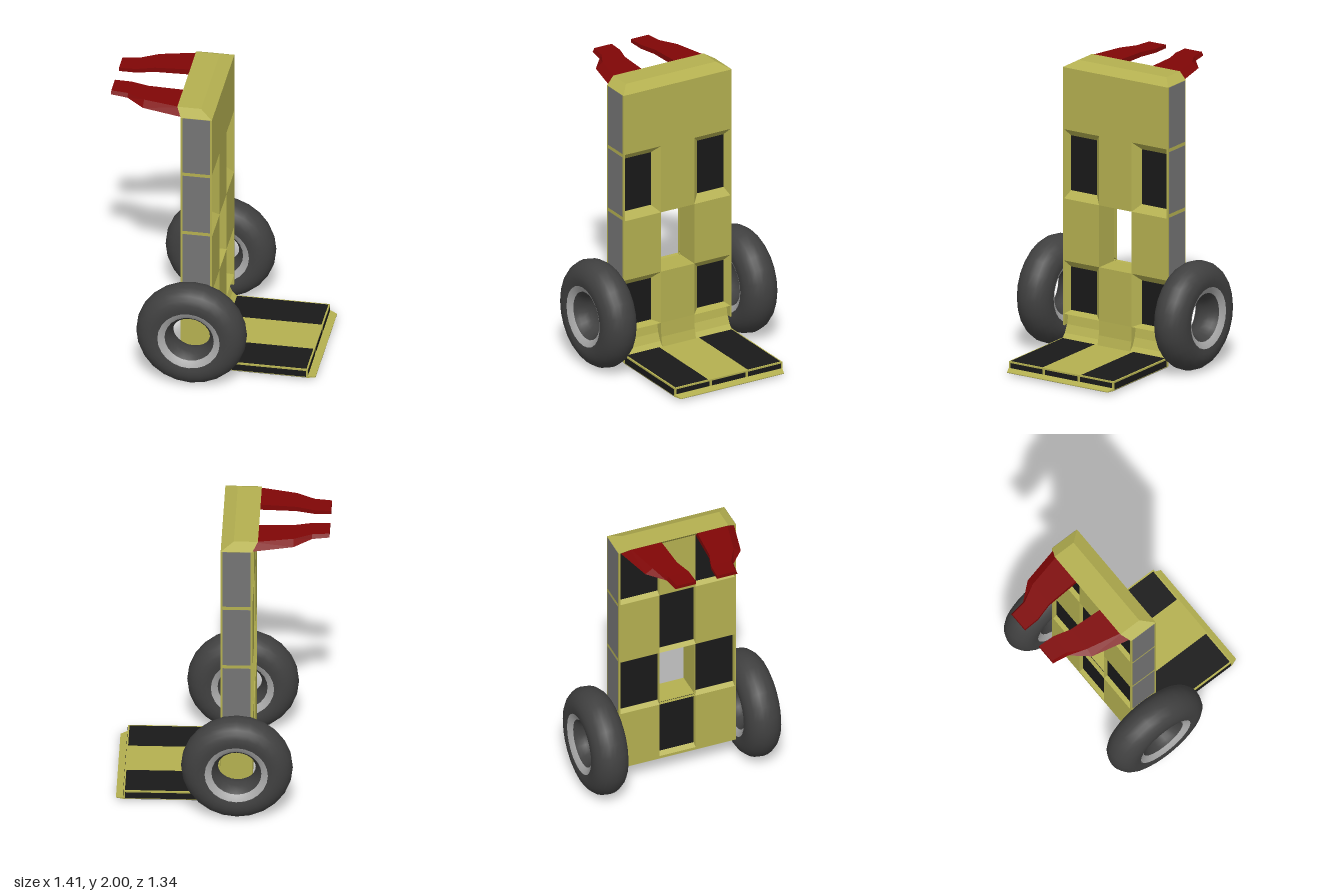
import * as THREE from 'three';

const mat = (color, flat = true) => new THREE.MeshStandardMaterial({ color, flatShading: flat, side: THREE.DoubleSide });

export function createModel() {
  const model = new THREE.Group();
  const yellow = mat(0xb4b050), black = mat(0x191919), grey = mat(0x747474);
  const red = mat(0x800606), rubber = mat(0x404040, false), rim = mat(0xa8a8a8, false);

  const add = (name, geo, material) => {
    const m = new THREE.Mesh(geo, material);
    m.name = name;
    model.add(m);
    return m;
  };
  // Box given by its limits on each axis
  const box = (name, material, x0, x1, y0, y1, z0, z1) =>
    add(name, new THREE.BoxGeometry(x1 - x0, y1 - y0, z1 - z0), material)
      .position.set((x0 + x1) / 2, (y0 + y1) / 2, (z0 + z1) / 2);
  // Skin through four-cornered sections, with optional end caps
  const loft = (sections, caps = true) => {
    const idx = [], last = (sections.length - 1) * 4;
    for (let s = 0; s < sections.length - 1; s++)
      for (let i = 0; i < 4; i++) {
        const a = s * 4 + i, b = s * 4 + (i + 1) % 4;
        idx.push(a, b, b + 4, a, b + 4, a + 4);
      }
    if (caps) idx.push(0, 2, 1, 0, 3, 2, last, last + 1, last + 2, last, last + 2, last + 3);
    const g = new THREE.BufferGeometry();
    g.setAttribute('position', new THREE.Float32BufferAttribute(sections.flat(2), 3));
    g.setIndex(idx);
    const flat = g.toNonIndexed();
    flat.computeVertexNormals();
    return flat;
  };
  const rectX = (x, y0, y1, z0, z1) => [[x, y0, z0], [x, y1, z0], [x, y1, z1], [x, y0, z1]];
  const rectY = (y, x0, x1, z) => [[x0, y, -z], [x0, y, z], [x1, y, z], [x1, y, -z]];

  // Backboard: checkered cells, recessed on alternating faces, one cell left open
  const xb = -0.2, xf = 0.01, depth = 0.05, backDepth = 0.03;
  const rows = [0.25, 0.62, 1.05, 1.53, 1.96], cols = [-0.41, -0.13, 0.13, 0.41];
  for (let r = 0; r < 4; r++)
    for (let c = 0; c < 3; c++) {
      const y0 = rows[r], y1 = rows[r + 1], z0 = cols[c], z1 = cols[c + 1];
      const middle = c === 1;
      if (r === 1 && middle) continue;
      if (!middle && r % 2 === 0) {
        // Bevelled recess in the loading face
        const iz0 = z0 + (c === 0 ? 0.025 : 0.05), iz1 = z1 - (c === 2 ? 0.025 : 0.05);
        const iy0 = y0 + (r === 0 ? 0.02 : 0.05), iy1 = y1 - 0.05;
        box('boardCell', yellow, xb, xf - depth, y0, y1, z0, z1);
        add('recessBevel', loft([rectX(xf, y0, y1, z0, z1), rectX(xf - depth + 0.002, iy0, iy1, iz0, iz1)], false), yellow);
        box('recessPanel', black, xf - depth, xf - depth + 0.004, iy0, iy1, iz0, iz1);
      } else if (middle && r === 3) {
        box('boardCell', yellow, xb, xf, y0, y1, z0, z1);
      } else {
        // Shallow recess in the handle face, with a sloping sill
        const yb = r === 0 ? 0.19 : y0, xp = xb + backDepth;
        box('boardCell', yellow, xp, xf, y0, y1, z0, z1);
        add('backBevel', loft([rectX(xb, yb, y1, z0, z1), rectX(xp, yb + 0.025, y1 - 0.005, z0 + 0.004, z1 - 0.004)], false), yellow);
        box('backPanel', black, xp - 0.003, xp, yb + 0.024, y1 - 0.004, z0 + 0.004, z1 - 0.004);
      }
    }

  // Lower board, curving out into the toe plate
  const foot = (profile, z0, z1) => {
    const shape = new THREE.Shape(profile.map(([x, y]) => new THREE.Vector2(x, y)));
    const g = new THREE.ExtrudeGeometry(shape, { depth: z1 - z0, bevelEnabled: false });
    add('foot', g.translate(0, 0, z0), yellow);
  };
  const side = [[xb, 0.17], [xb, 0.25], [-0.04, 0.25], [-0.025, 0.17], [0, 0.115], [0.03, 0.085], [0.03, 0.025], [0, 0.025], [-0.04, 0.17]];
  const mid = [[xb, 0.17], [xb, 0.19], [-0.17, 0.19], [-0.17, 0.25], [xf, 0.25], [0.015, 0.15], [0.03, 0.085], [0.03, 0.025], [0, 0.025], [-0.04, 0.17]];
  foot(side, -0.41, -0.13);
  foot(mid, -0.13, 0.13);
  foot(side, 0.13, 0.41);

  // Top cap, leaning back over the handles
  add('topCap', loft([rectY(1.96, xb, xf, 0.42), rectY(2, -0.235, -0.075, 0.35)]), yellow);

  // Toe plate with dark insets and a thin sloping lip
  box('toePlate', yellow, 0, 0.655, 0.025, 0.085, -0.418, 0.418);
  box('toeUnderside', grey, 0.01, 0.65, 0.02, 0.025, -0.415, 0.415);
  add('toeLip', loft([rectX(0.65, 0.022, 0.04, -0.42, 0.42), rectX(0.705, 0.021, 0.026, -0.4, 0.4)]), yellow);
  add('lipUnderside', loft([rectX(0.65, 0.02, 0.022, -0.415, 0.415), rectX(0.705, 0.02, 0.021, -0.4, 0.4)]), grey);
  for (const [z0, z1] of [[-0.405, -0.15], [-0.13, 0.13], [0.15, 0.405]])
    box('toeFrontInset', black, 0.655, 0.657, 0.04, 0.074, z0, z1);

  for (const s of [1, -1]) {
    const span = (a, b) => (s > 0 ? [a, b] : [-b, -a]);
    // Side rail and its inlaid panels
    box('sideRail', yellow, xb, xf, 0.17, 1.96, ...span(0.408, 0.42));
    for (const [y0, y1] of [[0.64, 1.055], [1.08, 1.51], [1.535, 1.958]])
      box('sidePanel', grey, -0.187, -0.003, y0, y1, ...span(0.419, 0.422));
    box('toeTopInset', black, 0.03, 0.645, 0.083, 0.087, ...span(0.155, 0.407));
    box('toeSideInset', black, 0.03, 0.645, 0.03, 0.074, ...span(0.416, 0.42));

    // Handle: x, inner z, outer z at top, outer z at bottom, top y, bottom y
    const grip = [
      [-0.2, 0.13, 0.35, 0.405, 1.997, 1.957],
      [-0.47, 0.115, 0.29, 0.342, 1.993, 1.96],
      [-0.59, 0.08, 0.225, 0.24, 1.991, 1.963],
      [-0.705, 0.075, 0.21, 0.222, 1.99, 1.966],
    ].map(([x, zi, zt, zo, yt, yb]) => [[x, yb, s * zi], [x, yt, s * zi], [x, yt, s * zt], [x, yb, s * zo]]);
    add('handle', loft(grip), red);

    // Wheel: round tyre with a pale band on each face
    const wheel = new THREE.Group();
    wheel.name = 'wheel';
    const band = (name, from, to, n, material) => {
      const pts = [];
      for (let i = 0; i <= n; i++) {
        const a = THREE.MathUtils.degToRad(from + (to - from) * i / n);
        pts.push(new THREE.Vector2(0.248 + 0.123 * Math.cos(a), 0.125 * Math.sin(a)));
      }
      const m = new THREE.Mesh(new THREE.LatheGeometry(pts, 24), material);
      m.name = name;
      wheel.add(m);
    };
    band('tyre', -108, 108, 14, rubber);
    band('rimBand', 108, 132, 2, rim);
    band('hub', 132, 228, 6, rubber);
    band('rimBand', 228, 252, 2, rim);
    wheel.rotation.x = Math.PI / 2;
    wheel.position.set(-0.103, 0.375, s * 0.547);
    model.add(wheel);
  }
  return model;
}
